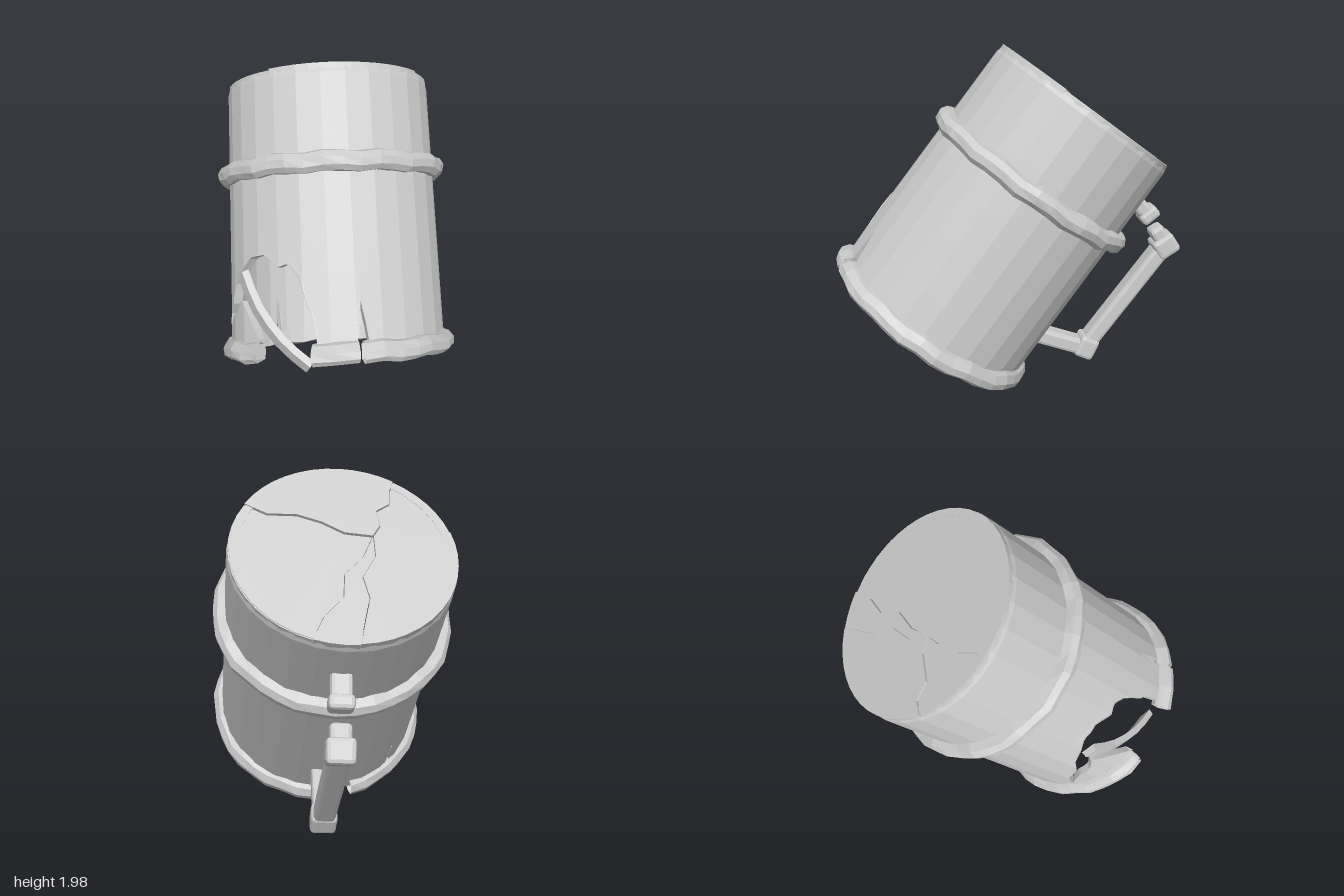
import * as THREE from 'three';
import { RoundedBoxGeometry } from 'three/addons/geometries/RoundedBoxGeometry.js';

const DEG = Math.PI / 180;
const SIDES = 28; // flat facets round the body
const mat = new THREE.MeshStandardMaterial({ color: 0xcccccc, flatShading: true, side: THREE.DoubleSide });

// linear interpolation through [angle, value] pairs
function along(table, x) {
  for (let i = 1; i < table.length; i++) {
    const [x0, y0] = table[i - 1], [x1, y1] = table[i];
    if (x <= x1) return y0 + (y1 - y0) * (x - x0) / (x1 - x0);
  }
  return table[table.length - 1][1];
}

// angles run from the handle (0) in degrees; y is the height above the open end
const polar = (r, deg, y) => new THREE.Vector3(r * Math.cos(deg * DEG), y, -r * Math.sin(deg * DEG));

// lathe from angle a0 to a1, each vertex reshaped by rule(r, y, deg) -> [r, y]
function ring(name, profile, a0, a1, segs, rule) {
  const geo = new THREE.LatheGeometry(profile.map(p => new THREE.Vector2(...p)), segs);
  const pos = geo.attributes.position;
  for (let s = 0; s <= segs; s++) {
    const deg = a0 + (a1 - a0) * s / segs;
    profile.forEach(([r, y], j) => {
      const [r2, y2] = rule(r, y, deg);
      const p = polar(r2, deg, y2);
      pos.setXYZ(s * profile.length + j, p.x, p.y, p.z);
    });
  }
  geo.computeVertexNormals();
  const mesh = new THREE.Mesh(geo, mat);
  mesh.name = name;
  return mesh;
}

// pulls a round radius in onto flat facets
function facet(r, deg) {
  const step = 360 / SIDES;
  const local = ((deg % step) + step) % step - step / 2;
  return r * Math.cos(step / 2 * DEG) / Math.cos(local * DEG);
}

// broken lower edge of the wall: a large hole and a few split cracks
const lowerEdge = [
  [0, 0], [8, 0], [11, 0.12], [14, 0.03], [18, 0], [42, 0], [45, 0.26], [47, 0], [98, 0],
  [104, 0.2], [114, 0.27], [120, 0.38], [128, 0.45], [136, 0.52], [146, 0.53], [154, 0.46],
  [160, 0.48], [166, 0.4], [169, 0.26], [172, 0.2], [174, 0], [192, 0], [196, 0.36], [198, 0], [360, 0],
];
// torn top of the wall piece still held by the rim
const fragmentEdge = [[96, 0.02], [104, 0.14], [112, 0.2], [120, 0.22], [126, 0.3], [133, 0.2], [142, 0.07]];

// chamfered bar between two points in the handle plane
function bar(name, p, q, w, t) {
  const dx = q[0] - p[0], dy = q[1] - p[1];
  const mesh = new THREE.Mesh(new RoundedBoxGeometry(t, Math.hypot(dx, dy), w, 1, 0.022), mat);
  mesh.position.set((p[0] + q[0]) / 2, (p[1] + q[1]) / 2, 0);
  mesh.rotation.z = Math.atan2(-dx, dy);
  mesh.name = name;
  return mesh;
}

// base disc split into sectors by jagged cracks
function crackedBase() {
  const group = new THREE.Group();
  group.name = 'crackedBase';
  const cracks = [6, 106, 151, 242, 344, 366], hub = [-0.1, 0.15], R = 0.575;
  const lifts = [0.006, -0.004, 0.004, -0.006, 0.002];
  const crack = (k) => { // points from hub to edge
    const a = cracks[k] * DEG, end = [R * Math.cos(a), R * Math.sin(a)];
    return [0, 0.2, 0.4, 0.6, 0.8, 1].map((t, i) => {
      const off = i === 0 || i === 5 ? 0 : 0.03 * Math.sin(i * 2.3 + (k % 5) * 1.7);
      return [hub[0] + (end[0] - hub[0]) * t - Math.sin(a) * off,
        hub[1] + (end[1] - hub[1]) * t + Math.cos(a) * off];
    });
  };
  for (let k = 0; k < 5; k++) {
    const pts = crack(k), n = Math.ceil((cracks[k + 1] - cracks[k]) / 8);
    for (let i = 1; i < n; i++) {
      const a = (cracks[k] + (cracks[k + 1] - cracks[k]) * i / n) * DEG;
      pts.push([R * Math.cos(a), R * Math.sin(a)]);
    }
    pts.push(...crack(k + 1).reverse().slice(0, -1));
    const shape = new THREE.Shape(pts.map(p => new THREE.Vector2(...p)));
    const geo = new THREE.ExtrudeGeometry(shape, { depth: 0.05, bevelEnabled: false });
    geo.rotateX(-Math.PI / 2);
    const mesh = new THREE.Mesh(geo, mat);
    const mid = (cracks[k] + cracks[k + 1]) / 2;
    mesh.position.copy(polar(0.004, mid, 1.467 + lifts[k]));
    mesh.name = 'basePiece';
    group.add(mesh);
  }
  return group;
}

// thin curved splinter swept along a path of points
function shard(name, path, width, thick) {
  const curve = new THREE.CatmullRomCurve3(path.map(p => new THREE.Vector3(...p)));
  const shape = new THREE.Shape();
  shape.moveTo(-thick, -width);
  shape.lineTo(thick, -width * 0.8);
  shape.lineTo(thick, width * 0.8);
  shape.lineTo(-thick, width);
  const mesh = new THREE.Mesh(new THREE.ExtrudeGeometry(shape, { steps: 6, extrudePath: curve }), mat);
  mesh.name = name;
  return mesh;
}

export function createModel() {
  const model = new THREE.Group();
  model.name = 'brokenTankard';
  const tankard = new THREE.Group();
  tankard.name = 'tankard';
  model.add(tankard);

  // body wall, slightly wider at the open end
  const rows = [0, 0.12, 0.25, 0.4, 0.55, 0.8, 1.1, 1.47];
  const radius = (y) => 0.617 - 0.021 * y;
  const wall = [
    ...rows.map(y => [radius(y), y]), [0.574, 1.515], [0.53, 1.515],
    ...rows.slice().reverse().map(y => [radius(y) - 0.045, y]), [radius(0), 0],
  ];
  tankard.add(ring('bodyWall', wall, 0, 360, 168, (r, y, deg) =>
    [facet(r, deg), Math.max(y, along(lowerEdge, deg))]));

  // torn wall piece left on the rim
  const strip = [[0.62, 0], [0.617, 1], [0.575, 1], [0.575, 0]];
  tankard.add(ring('wallFragment', strip, 97, 141, 22, (r, y, deg) =>
    [facet(r, deg), y * along(fragmentEdge, deg)]));

  // worn rim at the open end, with a missing stretch
  const rimProfile = [[0.57, -0.03], [0.63, -0.045], [0.664, -0.02], [0.668, 0.02], [0.64, 0.06], [0.61, 0.07], [0.57, 0.05], [0.57, -0.03]];
  const wear = (r, y, deg) => {
    const n = Math.sin(deg * 0.31 + y * 20) * 0.5 + Math.sin(deg * 0.83) * 0.5;
    return [r + (r > 0.6 ? 0.008 * n : 0), y + 0.007 * Math.sin(deg * 0.47 + r * 9)];
  };
  [[18, 140], [171, 193], [195.5, 358], [1, 11]].forEach(([a, b]) =>
    tankard.add(ring('rim', rimProfile, a, b, Math.max(2, Math.round((b - a) / 9)), wear)));

  // raised band round the body
  const band = [[0.58, 0.945], [0.625, 0.945], [0.655, 0.97], [0.662, 1.01], [0.64, 1.045], [0.58, 1.06]];
  tankard.add(ring('band', band, 0, 360, 40, (r, y, deg) => wear(r, y, deg === 360 ? 0 : deg)));

  tankard.add(crackedBase());

  // angular handle, its upper arm snapped off from the stub
  const handle = new THREE.Group();
  handle.name = 'handle';
  handle.add(
    bar('lowerArm', [0.55, 0.21], [0.92, 0.32], 0.12, 0.1),
    bar('lowerCorner', [0.87, 0.32], [0.99, 0.345], 0.145, 0.14),
    bar('grip', [0.925, 0.3], [0.925, 1.15], 0.12, 0.1),
    bar('upperCorner', [0.865, 1.155], [0.985, 1.11], 0.145, 0.14),
    bar('upperArm', [0.93, 1.13], [0.8, 1.185], 0.11, 0.09),
    bar('upperStub', [0.55, 1.25], [0.74, 1.22], 0.11, 0.09),
    bar('stubEnd', [0.68, 1.235], [0.755, 1.215], 0.13, 0.12),
  );
  tankard.add(handle);

  // tip the tankard over, open end down and to the front
  const out = new THREE.Vector3(0.523, -0.596, -0.61).normalize();
  const axis = new THREE.Vector3(0.316, 0.80, -0.51).normalize();
  const side = new THREE.Vector3().crossVectors(out, axis).normalize();
  tankard.quaternion.setFromRotationMatrix(new THREE.Matrix4().makeBasis(out, axis, side));
  tankard.position.set(-0.21, 0.425, 0.35);

  // loose splinter hanging by the hole
  model.add(shard('splinter', [[-0.67, 1.0, 0.1], [-0.68, 0.86, 0.24], [-0.65, 0.73, 0.44], [-0.58, 0.64, 0.6]], 0.05, 0.018));
  return model;
}
